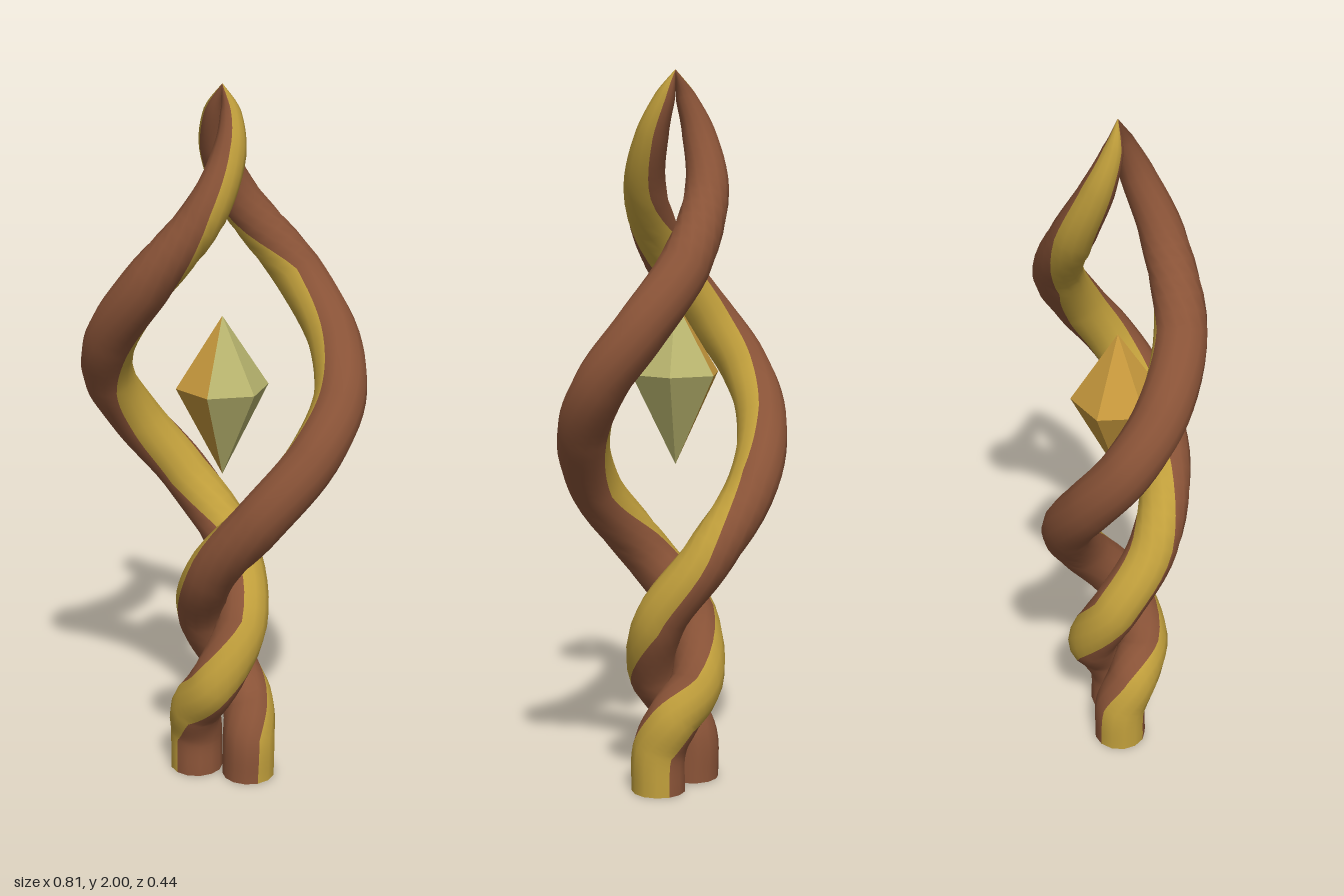
import * as THREE from 'three';

// Strand stations: x, y, z, tube radius, compass angle (degrees) faced by the pale stripe
const STATIONS = [
  [-0.08, 0, 0, 0.076, 175],
  [-0.08, 0.12, 0.003, 0.076, 172],
  [-0.065, 0.21, 0.04, 0.075, 145],
  [0, 0.31, 0.075, 0.074, 90],
  [0.062, 0.48, 0.01, 0.073, 20],
  [0, 0.66, -0.105, 0.072, 20],
  [-0.165, 0.86, -0.15, 0.072, 45],
  [-0.29, 1.03, -0.092, 0.072, 22],
  [-0.333, 1.17, 0, 0.072, 0],
  [-0.29, 1.31, 0.092, 0.072, -25],
  [-0.165, 1.48, 0.15, 0.07, -50],
  [-0.01, 1.68, 0.113, 0.06, 0],
  [0.036, 1.83, 0.052, 0.046, 15],
  [0.027, 1.93, 0.014, 0.028, 15],
  [0, 2, 0, 0.001, 15],
];
const RINGS = 84;
const HALF_STRIPE = THREE.MathUtils.degToRad(56);
const path = new THREE.CatmullRomCurve3(STATIONS.map(([x, y, z]) => new THREE.Vector3(x, y, z)));

// Radius and stripe angle, blended between stations
function blend(t, k) {
  const s = t * (STATIONS.length - 1);
  const i = Math.min(Math.floor(s), STATIONS.length - 2);
  return THREE.MathUtils.lerp(STATIONS[i][k], STATIONS[i + 1][k], s - i);
}

// One lengthwise band of the tube, between two angles measured from the stripe's middle
function tubeBand(from, to, segments) {
  const positions = [], normals = [], index = [];
  for (let i = 0; i <= RINGS; i++) {
    const t = i / RINGS;
    const centre = path.getPoint(t);
    const tangent = i === 0 ? new THREE.Vector3(0, 1, 0) : path.getTangent(t);
    const facing = THREE.MathUtils.degToRad(blend(t, 4));
    const n = new THREE.Vector3(Math.cos(facing), 0, Math.sin(facing))
      .projectOnPlane(tangent).normalize();
    const b = new THREE.Vector3().crossVectors(tangent, n);
    const radius = blend(t, 3);
    for (let j = 0; j <= segments; j++) {
      const a = THREE.MathUtils.lerp(from, to, j / segments);
      const out = n.clone().multiplyScalar(Math.cos(a)).addScaledVector(b, Math.sin(a));
      normals.push(...out.toArray());
      positions.push(...out.multiplyScalar(radius).add(centre).toArray());
      if (i < RINGS && j < segments) {
        const p = i * (segments + 1) + j, q = p + segments + 1;
        index.push(p, p + 1, q, p + 1, q + 1, q);
      }
    }
  }
  const geometry = new THREE.BufferGeometry();
  geometry.setAttribute('position', new THREE.Float32BufferAttribute(positions, 3));
  geometry.setAttribute('normal', new THREE.Float32BufferAttribute(normals, 3));
  geometry.setIndex(index);
  return geometry;
}

function addMesh(parent, name, geometry, material) {
  const mesh = new THREE.Mesh(geometry, material);
  mesh.name = name;
  parent.add(mesh);
  return mesh;
}

export function createModel() {
  const model = new THREE.Group();
  model.name = 'twistedStaffHead';
  const brown = new THREE.MeshStandardMaterial({ color: 0x8b5438 });
  const gold = new THREE.MeshStandardMaterial({ color: 0xc2a03c });

  // Two intertwined strands, half a turn apart
  const bark = tubeBand(HALF_STRIPE, 2 * Math.PI - HALF_STRIPE, 9);
  const stripe = tubeBand(-HALF_STRIPE, HALF_STRIPE, 4);
  const cap = new THREE.CircleGeometry(STATIONS[0][3], 13).rotateX(Math.PI / 2);
  cap.translate(STATIONS[0][0], 0, 0);
  ['rightStrand', 'leftStrand'].forEach((name, k) => {
    const strand = new THREE.Group();
    strand.name = name;
    strand.rotation.y = k * Math.PI;
    addMesh(strand, 'strandBark', bark, brown);
    addMesh(strand, 'strandStripe', stripe, gold);
    addMesh(strand, 'strandBase', cap, brown);
    model.add(strand);
  });

  // Floating six-sided crystal, each half its own tint
  const crystal = new THREE.Group();
  crystal.name = 'crystal';
  const profile = [[0, 0.92], [0.13, 1.175], [0, 1.375]].map(([r, y]) => new THREE.Vector2(r, y));
  [['crystalLeftHalf', 0, 0xb8b46e], ['crystalRightHalf', Math.PI, 0xc6983c]].forEach(([name, start, color]) => {
    const material = new THREE.MeshStandardMaterial({ color, flatShading: true });
    addMesh(crystal, name, new THREE.LatheGeometry(profile, 3, start, Math.PI), material);
  });
  model.add(crystal);

  return model;
}
